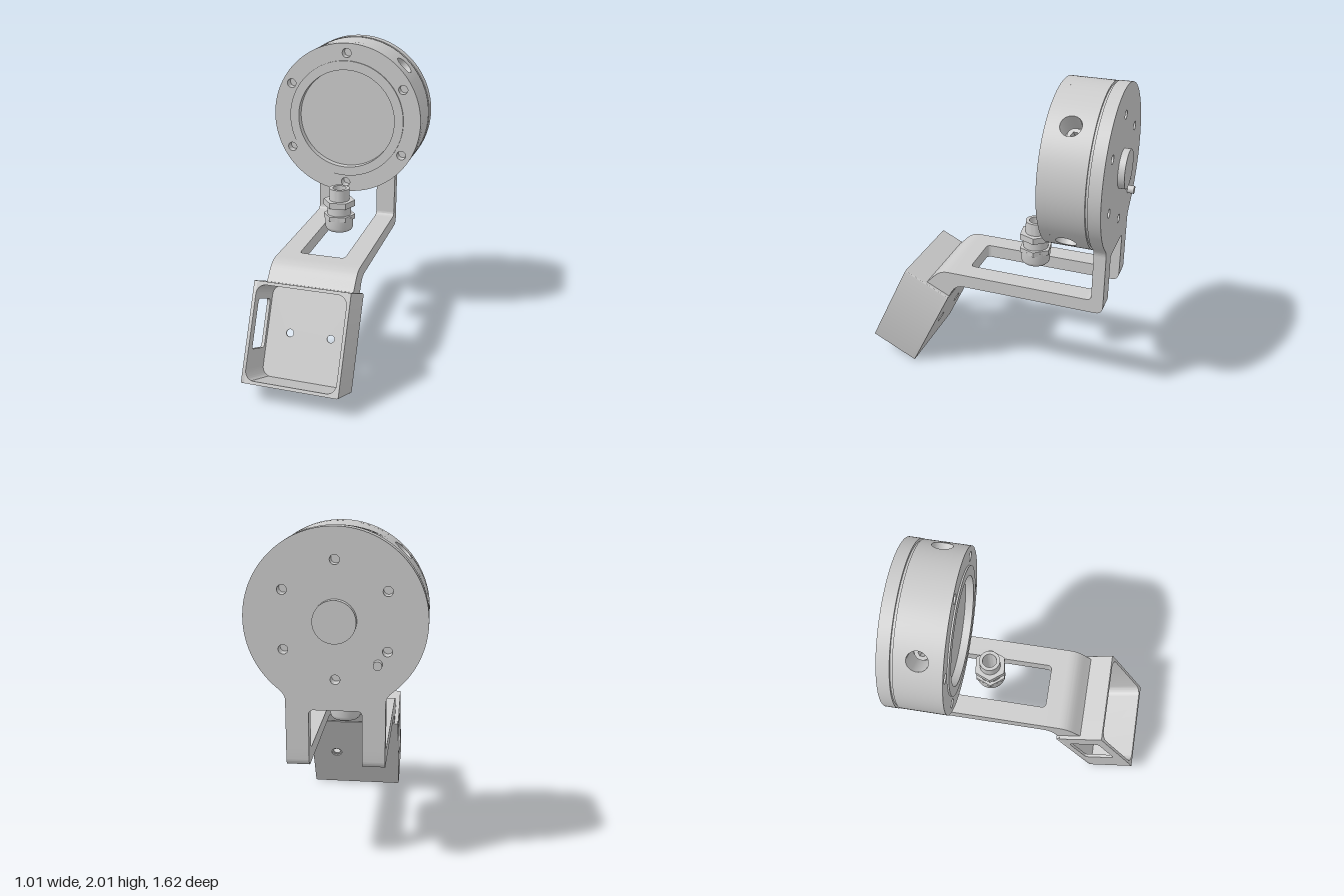
import * as THREE from 'three';
import { toCreasedNormals } from 'three/addons/utils/BufferGeometryUtils.js';
import { ParametricGeometry } from 'three/addons/geometries/ParametricGeometry.js';

const material = new THREE.MeshStandardMaterial({ color: 0xcccccc, side: THREE.DoubleSide });
const { lerp } = THREE.MathUtils;

function add(parent, name, geometry) {
  const mesh = new THREE.Mesh(geometry, material);
  mesh.name = name;
  parent.add(mesh);
  return mesh;
}

// Extrusion along z from z0 to z1
function slab(shape, z0, z1, segments = 24) {
  const g = new THREE.ExtrudeGeometry(shape, { depth: z1 - z0, bevelEnabled: false, curveSegments: segments });
  return toCreasedNormals(g.translate(0, 0, z0), 0.5);
}

// Side profile drawn in (z, y), extruded across x from x0 to x1
const across = (shape, x0, x1) => slab(shape, -x1, -x0).rotateY(-Math.PI / 2);

const circle = (r, x = 0, y = 0) => new THREE.Shape().absarc(x, y, r, 0, Math.PI * 2);

function withHoles(shape, holes) {
  shape.holes.push(...holes);
  return shape;
}

const ringOfHoles = (radius, r, cy = 0) => Array.from({ length: 6 }, (_, i) => {
  const a = Math.PI / 2 + i * Math.PI / 3;
  return circle(r, radius * Math.cos(a), cy + radius * Math.sin(a));
});

function polygon(sides, r, turn = 0) {
  return new THREE.Shape(Array.from({ length: sides }, (_, i) => {
    const a = turn + i * 2 * Math.PI / sides;
    return new THREE.Vector2(r * Math.cos(a), r * Math.sin(a));
  }));
}

function roundedRect(x0, y0, x1, y1, r) {
  const s = new THREE.Shape();
  s.absarc(x1 - r, y1 - r, r, 0, Math.PI / 2);
  s.absarc(x0 + r, y1 - r, r, Math.PI / 2, Math.PI);
  s.absarc(x0 + r, y0 + r, r, Math.PI, Math.PI * 1.5);
  s.absarc(x1 - r, y0 + r, r, Math.PI * 1.5, Math.PI * 2);
  s.closePath();
  return s;
}

// Round housing with four radial screw ports
function createDrum() {
  const drum = new THREE.Group();
  drum.name = 'drum';
  drum.position.y = 1.5;
  const R = 0.503, portR = 0.062, portZ = -0.545, floorH = 0.34;

  add(drum, 'frontFlange', slab(withHoles(circle(R), [circle(0.38), ...ringOfHoles(0.44, 0.03)]), -0.46, -0.4, 96));
  add(drum, 'flangeBacking', new THREE.CircleGeometry(0.5, 96).translate(0, 0, -0.46));
  add(drum, 'bezel', slab(withHoles(circle(0.39), [circle(0.33)]), -0.45, -0.39, 96));
  add(drum, 'lens', new THREE.CircleGeometry(0.335, 96).translate(0, 0, -0.44));
  add(drum, 'groove', new THREE.CylinderGeometry(0.49, 0.49, 0.04, 96).rotateX(Math.PI / 2).translate(0, 0, -0.685));
  add(drum, 'wallBack', new THREE.RingGeometry(0.4, R, 96).translate(0, 0, -0.68));

  for (let k = 0; k < 4; k++) {
    const phi = Math.PI / 4 + k * Math.PI / 2;
    // Quarter of the wall, blended from the round port out to a rectangle
    const wall = (u, v, p) => {
      const side = Math.floor(u * 4) % 4, f = 2 * (u * 4 - Math.floor(u * 4)) - 1;
      const [sx, sy] = [[1, f], [-f, 1], [-1, -f], [f, -1]][side];
      const t = Math.atan2(sy, sx);
      const a = phi + lerp(Math.asin(portR * Math.cos(t) / R), sx * Math.PI / 4, v);
      const z = portZ + lerp(portR * Math.sin(t), sy * (sy > 0 ? 0.085 : 0.135), v);
      p.set(R * Math.cos(a), R * Math.sin(a), z);
    };
    const bore = (u, v, p) => {
      const a = portR * Math.cos(u * Math.PI * 2), z = portR * Math.sin(u * Math.PI * 2);
      const h = lerp(floorH, Math.sqrt(R * R - a * a), v);
      p.set(h * Math.cos(phi) - a * Math.sin(phi), h * Math.sin(phi) + a * Math.cos(phi), portZ + z);
    };
    const radial = g => g.rotateY(Math.PI / 2).rotateZ(phi).translate(0, 0, portZ);
    add(drum, 'drumWall', new ParametricGeometry(wall, 96, 12));
    add(drum, 'portBore', new ParametricGeometry(bore, 48, 1));
    add(drum, 'portFloor', radial(new THREE.CircleGeometry(portR, 48).translate(0, 0, floorH)));
    add(drum, 'portScrew', radial(slab(withHoles(circle(0.045), [polygon(6, 0.024)]), floorH, 0.38)));
  }
  return drum;
}

// Back plate, two legs, deck and bent neck
function createBracket() {
  const bracket = new THREE.Group();
  bracket.name = 'bracket';
  const R = 0.505, w = 0.28, c = 0.15, a = 0.9;

  const plate = new THREE.Shape();
  plate.moveTo(w, 0.765).lineTo(w, 1.04);
  plate.quadraticCurveTo(w, 1.075, R * Math.cos(a), 1.5 - R * Math.sin(a));
  plate.absarc(0, 1.5, R, -a, Math.PI + a);
  plate.quadraticCurveTo(-w, 1.075, -w, 1.04);
  plate.lineTo(-w, 0.765).lineTo(-c, 0.765).lineTo(-c, 0.96);
  plate.quadraticCurveTo(-c, 0.99, -c + 0.03, 0.99);
  plate.lineTo(c - 0.03, 0.99).quadraticCurveTo(c, 0.99, c, 0.96);
  plate.lineTo(c, 0.765).closePath();
  add(bracket, 'backPlate', slab(withHoles(plate, ringOfHoles(0.33, 0.027, 1.5)), -0.77, -0.695, 96));

  const bend = new THREE.Shape();
  bend.moveTo(-0.66, 0.735).quadraticCurveTo(-0.695, 0.735, -0.695, 0.765);
  bend.lineTo(-0.77, 0.765).lineTo(-0.77, 0.7).quadraticCurveTo(-0.77, 0.65, -0.72, 0.65);
  bend.lineTo(-0.66, 0.65).closePath();
  for (const [x0, x1] of [[-w, -c], [c, w]]) add(bracket, 'legBend', across(bend, x0, x1));

  // Deck drawn in (x, -z) with its cutout open to the back
  const deck = new THREE.Shape();
  deck.moveTo(w, 0.66).lineTo(c, 0.66).lineTo(c, -0.11);
  deck.quadraticCurveTo(c, -0.14, c - 0.03, -0.14).lineTo(-c + 0.03, -0.14);
  deck.quadraticCurveTo(-c, -0.14, -c, -0.11).lineTo(-c, 0.66).lineTo(-w, 0.66);
  deck.lineTo(-w, -0.17).lineTo(w, -0.17).closePath();
  add(bracket, 'deck', slab(deck, 0.65, 0.735).rotateX(-Math.PI / 2));

  const neck = new THREE.Shape();
  neck.moveTo(0.17, 0.735).lineTo(0.24, 0.735);
  neck.bezierCurveTo(0.32, 0.735, 0.34, 0.69, 0.4, 0.632);
  neck.lineTo(0.25, 0.56).lineTo(0.24, 0.565);
  neck.bezierCurveTo(0.215, 0.615, 0.2, 0.645, 0.14, 0.65).lineTo(0.17, 0.66).closePath();
  add(bracket, 'neck', across(neck, -w, w));

  // Knob and locating pin on the back
  const stud = (name, r, x, y) => add(bracket, name,
    new THREE.CylinderGeometry(r, r, 0.05, 48).rotateX(Math.PI / 2).translate(x, y, -0.785));
  stud('backKnob', 0.12, 0, 1.5);
  stud('locatingPin', 0.025, -0.235, 1.265);
  return bracket;
}

// Open tray tilted back, with a window in one side wall
function createTray() {
  const tray = new THREE.Group();
  tray.name = 'tray';
  tray.position.set(0, 0.35, 0.525);
  tray.rotation.x = -0.447;
  const W = 0.305, H = 0.31, D = 0.165, t = 0.02, r = 0.06;
  const iw = W - t, ih = H - t;

  // Top, bottom and closed side, with rounded inner corners
  const shell = new THREE.Shape();
  shell.moveTo(-iw, H).lineTo(-iw, ih - r);
  shell.absarc(-iw + r, ih - r, r, Math.PI, Math.PI / 2, true);
  shell.absarc(iw - r, ih - r, r, Math.PI / 2, 0, true);
  shell.absarc(iw - r, -ih + r, r, 0, -Math.PI / 2, true);
  shell.absarc(-iw + r, -ih + r, r, -Math.PI / 2, -Math.PI, true);
  shell.lineTo(-iw, -H).lineTo(W - 0.01, -H).quadraticCurveTo(W, -H, W, -H + 0.01);
  shell.lineTo(W, H - 0.01).quadraticCurveTo(W, H, W - 0.01, H).closePath();
  add(tray, 'trayShell', slab(shell, -D + t, D));

  const side = roundedRect(-D + t, -H, D, H, 0.004);
  add(tray, 'windowWall', across(withHoles(side, [roundedRect(-0.115, -0.11, 0.1, 0.2, 0.025)]), -W, -iw));

  // Back wall in two layers so the screw holes step wider outside
  const back = holeR => withHoles(roundedRect(-W, -H, W, H, 0.01), [circle(holeR, -0.135), circle(holeR, 0.135)]);
  add(tray, 'backWallInner', slab(back(0.024), -D + 0.01, -D + t));
  add(tray, 'backWallOuter', slab(back(0.036), -D, -D + 0.01));
  return tray;
}

// Hollow cable gland with two hex collars
function createGland() {
  const gland = new THREE.Group();
  gland.name = 'cableGland';
  gland.position.z = -0.25;
  const profile = [[0.045, 0.77], [0.065, 0.77], [0.08, 0.775], [0.09, 0.786], [0.094, 0.8], [0.094, 0.87], [0.08, 0.87],
    [0.08, 0.95], [0.067, 0.95], [0.067, 1.066], [0.045, 1.066], [0.045, 0.77]];
  add(gland, 'glandBody', toCreasedNormals(
    new THREE.LatheGeometry(profile.map(p => new THREE.Vector2(...p)), 48), 0.6));
  for (const [y0, y1] of [[0.854, 0.886], [0.944, 0.985]]) {
    const hex = withHoles(polygon(6, 0.107, 0.14), [circle(0.05)]);
    add(gland, 'hexCollar', slab(hex, y0, y1).rotateX(-Math.PI / 2));
  }
  return gland;
}

export function createModel() {
  const model = new THREE.Group();
  model.name = 'bracketedSensor';
  model.add(createDrum(), createBracket(), createTray(), createGland());
  return model;
}
